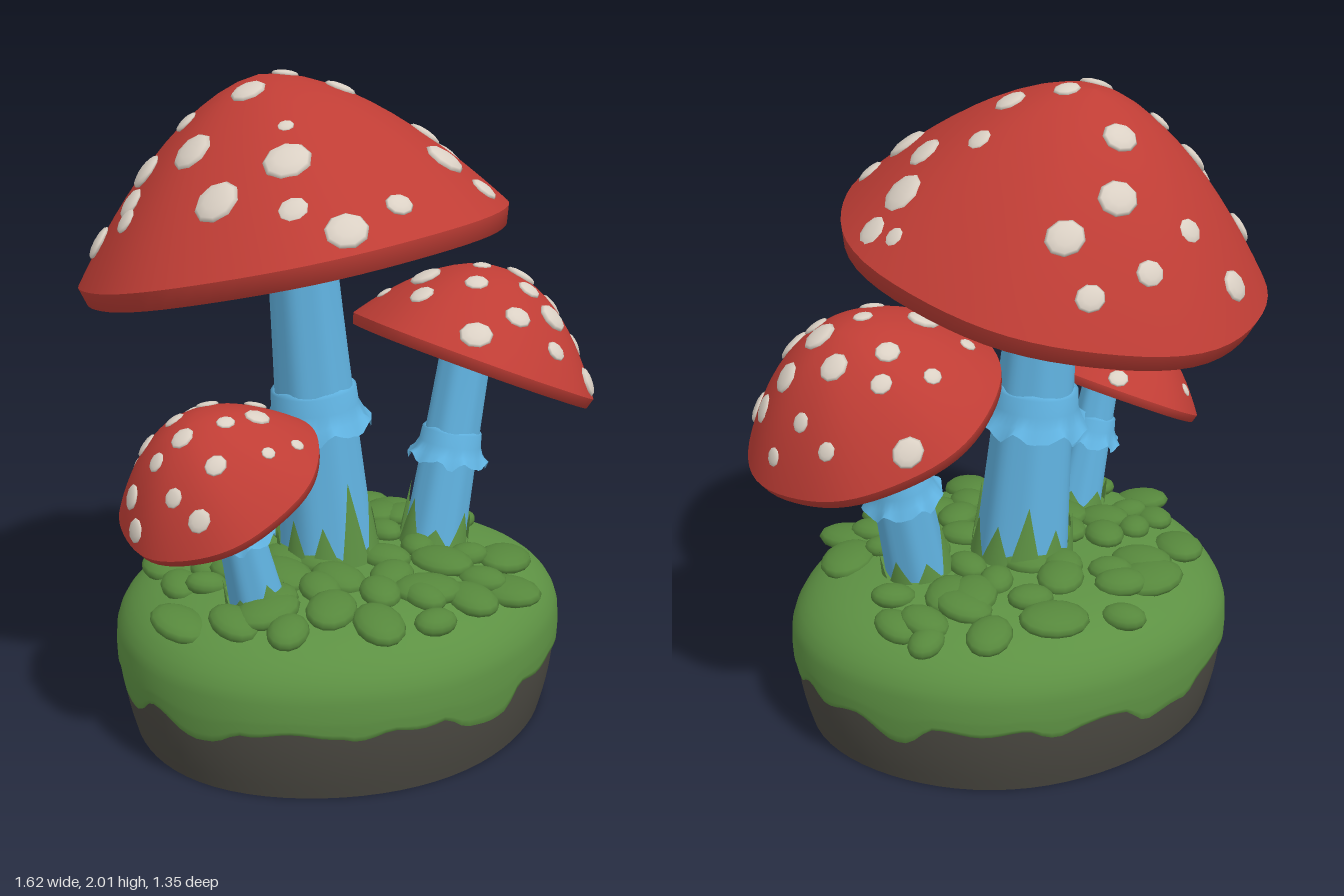
import * as THREE from 'three';

const mat = (name, color, side = THREE.FrontSide) => {
  const m = new THREE.MeshStandardMaterial({ color, side });
  m.name = name;
  return m;
};
const red = mat('cap red', 0xbf3d35);
const cream = mat('spot cream', 0xdad0c4);
const blue = mat('stem blue', 0x60b2e0, THREE.DoubleSide);
const green = mat('moss green', 0x5d9143, THREE.DoubleSide);
const lumpGreen = mat('moss lump green', 0x56873c);
const soil = mat('soil grey', 0x4a4841);

const V = (x, y, z) => new THREE.Vector3(x, y, z);
const UP = V(0, 1, 0);
let seed = 7;
const rand = () => (seed = (seed * 16807) % 2147483647) / 2147483647;

// Surface closed around y: fn(angle, row) returns [radius or x, y, z]
function loft(cols, rows, fn) {
  const pos = [], idx = [];
  for (let j = 0; j < rows; j++)
    for (let i = 0; i < cols; i++) pos.push(...fn((i / cols) * Math.PI * 2, j, i));
  for (let j = 0; j < rows - 1; j++)
    for (let i = 0; i < cols; i++) {
      const a = j * cols + i, b = j * cols + ((i + 1) % cols);
      idx.push(a, a + cols, b, b, a + cols, b + cols);
    }
  const g = new THREE.BufferGeometry();
  g.setAttribute('position', new THREE.Float32BufferAttribute(pos, 3));
  g.setIndex(idx);
  g.computeVertexNormals();
  return g;
}
const polar = (a, r, y) => [Math.cos(a) * r, y, Math.sin(a) * r];

function add(parent, name, geometry, material) {
  const m = new THREE.Mesh(geometry, material);
  m.name = name;
  parent.add(m);
  return m;
}

// ---- Mound: an oval plan with a slightly wavy outline ----
function moundPoint(a, rho, y, out = 0) {
  const w = rho * (1 + 0.01 * Math.sin(3 * a + 1) + 0.007 * Math.sin(5 * a)) + out;
  return [-0.025 + 0.715 * w * Math.cos(a), y, 0.035 + 0.635 * w * Math.sin(a)];
}
const topY = rho => 0.28 + 0.23 * Math.pow(1 - Math.pow(rho, 4), 0.45);
const sideRho = y => (y > 0.28 ? 1 : 1 - 0.06 * ((0.28 - y) / 0.28) ** 2);
const mossEdge = a => 0.222 - 0.055 * Math.min(1, Math.max(0, 1.8 * Math.sin(7 * a + 1) * Math.sin(3 * a + 0.6)))
  + 0.06 * Math.max(0, Math.cos(a - 0.13)) ** 110 + 0.008 * Math.sin(17 * a);

function buildMound(parent) {
  const g = new THREE.Group();
  g.name = 'mound';
  parent.add(g);
  add(g, 'soilSide', loft(72, 7, (a, j) => moundPoint(a, sideRho(j * 0.045), j * 0.045)), soil);
  add(g, 'soilBottom', loft(72, 2, (a, j) => moundPoint(a, j * 0.94, 0)), soil);
  add(g, 'mossCover', loft(144, 22, (a, j) => {
    const e = mossEdge(a);
    if (j === 0) return moundPoint(a, sideRho(e), e);
    if (j < 6) {
      const y = e + (0.28 - e) * ((j - 1) / 5);
      return moundPoint(a, sideRho(y), y, 0.012);
    }
    const rho = Math.sin((1 - (j - 5) / 16) * Math.PI / 2);
    return moundPoint(a, rho, topY(rho), 0.012 * rho);
  }), green);

  // Flattened moss lumps scattered on the top
  const lump = new THREE.SphereGeometry(1, 14, 8);
  for (let i = 0; i < 54; i++) {
    const rho = 0.84 * Math.sqrt((i + 0.6) / 54) + (rand() - 0.5) * 0.08;
    const [x, y, z] = moundPoint(i * 2.39996 + rand() * 0.4, rho, topY(rho));
    const s = 0.06 + rand() * 0.042;
    const m = add(g, 'mossLump', lump, lumpGreen);
    m.position.set(x, y + 0.008, z);
    m.scale.set(s * 1.1, 0.036, s * 0.85);
    m.rotation.set(0.3 * z, rand() * 3, -0.3 * x);
  }
}

// ---- Stem with ragged skirt and mossy foot, built along its own axis ----
function buildStem(parent, { foot, head, r0, r1, skirtAt, skirtR, moss }) {
  const g = new THREE.Group();
  g.name = 'stem';
  g.position.copy(foot);
  const axis = head.clone().sub(foot), len = axis.length();
  g.quaternion.setFromUnitVectors(UP, axis.normalize());
  parent.add(g);
  const rad = t => r1 + (r0 - r1) * (1 - t) ** 1.3;
  const flute = a => 1 + 0.025 * Math.cos(7 * a + 1);
  add(g, 'stalk', loft(42, 9, (a, j) => polar(a, rad(j / 8) * flute(a), len * j / 8)), blue);

  // Skirt: hugs the stalk above, flares to a torn hem below
  const rs = rad(skirtAt), y = len * skirtAt, d = skirtR - rs;
  const hem = a => 0.28 * d * Math.sin(8 * a) + 0.16 * d * Math.sin(13 * a + 2);
  add(g, 'skirt', loft(48, 5, (a, j) => [
    polar(a, skirtR + hem(a) * 0.3, y - d * 1.5 + hem(a)),
    polar(a, rs + d * 0.6, y - d * 0.9 + hem(a) * 0.3),
    polar(a, rs + d * 0.28, y - d * 0.2),
    polar(a, rs * 1.09, y + d * 0.8),
    polar(a, rs * 0.97, y + d * (0.95 + 0.12 * Math.sin(5 * a))),
  ][j]), blue);

  // Pointed moss blades climbing the foot
  const n = moss.length;
  add(g, 'mossBlades', loft(n * 8, 4, (a, j, i) => {
    const tri = 1 - Math.abs((i % 8) - 4) / 4;
    const h = 0.05 + moss[Math.floor(i / 8)] * tri;
    return polar(a, rad((h * j / 3) / len) * 1.05 + 0.012 * (1 - j / 6), h * j / 3);
  }), green);
}

// ---- Cap: red dome, rolled lip, pleated gills and raised spots ----
function buildCap(parent, { center, normal, R, H, power, gillH, spots }) {
  const g = new THREE.Group();
  g.name = 'cap';
  g.position.copy(center);
  g.quaternion.setFromUnitVectors(UP, normal.clone().normalize());
  parent.add(g);
  const lip = 0.085 * R;
  const wob = a => 1 + 0.012 * Math.sin(3 * a + 0.5) + 0.008 * Math.sin(7 * a);
  const height = r => H * (1 - Math.pow(Math.min(r / R, 1), power));
  add(g, 'dome', loft(64, 17, (a, j) => {
    const r = R * Math.sin((1 - j / 16) * Math.PI / 2);
    return polar(a, r * wob(a), height(r));
  }), red);
  add(g, 'lip', loft(64, 3, (a, j) =>
    polar(a, R * wob(a) * [0.93, 0.975, 1][j], [-lip * 0.9, -lip, 0][j])), red);
  add(g, 'gills', loft(96, 7, (a, j, i) => {
    const t = j / 6;
    const pleat = (i % 2) * 0.022 * R * Math.sin(Math.PI * Math.min(1, t * 1.02));
    return polar(a, 0.935 * R * t * wob(a), gillH + (-lip * 0.85 - gillH) * t ** 1.6 + pleat);
  }), blue);

  const spotShape = new THREE.SphereGeometry(1, 9, 6);
  for (const [x, z, s] of spots) {
    const r = Math.hypot(x, z) || 0.001;
    const slope = (H * power / R) * Math.pow(r / R, power - 1);
    const m = add(g, 'spot', spotShape, cream);
    m.position.set(x, height(r), z);
    m.quaternion.setFromUnitVectors(UP, V(slope * x / r, 1, slope * z / r).normalize());
    m.scale.set(s, s * 0.28, s * 0.88);
  }
}

// Spot placement given in plan, converted to the tilted cap's own axes
function planSpots(list, { center, normal, R, H, power }) {
  const q = new THREE.Quaternion().setFromUnitVectors(UP, normal.clone().normalize());
  return list.map(([x, z, s]) => {
    let u = x - center.x, v = z - center.z;
    for (let k = 0; k < 12; k++) {
      const r = Math.min(Math.hypot(u, v) / R, 1);
      const p = V(u, H * (1 - Math.pow(r, power)), v).applyQuaternion(q).add(center);
      u += (x - p.x) * 0.6;
      v += (z - p.z) * 0.6;
    }
    const k = Math.min(1, 0.94 * R / Math.hypot(u, v));
    return [u * k, v * k, s];
  });
}
const spiralSpots = (n, R, size, turn) => Array.from({ length: n }, (_, i) => {
  const r = R * 0.93 * Math.sqrt((i + 0.5) / n), a = i * 2.39996 + turn + rand() * 0.5;
  return [r * Math.cos(a), r * Math.sin(a), size * (0.6 + 0.6 * rand())];
});

export function createModel() {
  const model = new THREE.Group();
  model.name = 'mushroomCluster';
  buildMound(model);

  const big = { center: V(-0.145, 1.505, -0.03), normal: V(-0.085, 1, -0.225), R: 0.65, H: 0.505, power: 1.7, gillH: 0.06 };
  big.spots = planSpots([
    [-0.37, -0.56, 0.055], [-0.24, -0.5, 0.045], [-0.05, -0.55, 0.045], [0.14, -0.52, 0.045],
    [-0.04, -0.42, 0.062], [0.14, -0.41, 0.06], [-0.14, -0.31, 0.056], [-0.65, -0.29, 0.055],
    [-0.54, -0.19, 0.058], [-0.62, -0.14, 0.05], [-0.41, -0.18, 0.04], [-0.66, -0.1, 0.04],
    [-0.5, 0.01, 0.066], [-0.29, -0.03, 0.055], [-0.12, -0.1, 0.042], [0, 0.01, 0.05],
    [0.15, -0.04, 0.04], [0.22, 0.13, 0.056], [0.34, 0.07, 0.072], [0.44, 0.08, 0.055],
    [0.43, -0.01, 0.035], [-0.55, 0.22, 0.07], [-0.36, 0.28, 0.072], [-0.3, 0.18, 0.025],
    [-0.42, 0.4, 0.046], [-0.33, 0.52, 0.065], [-0.15, 0.51, 0.042], [0.14, 0.33, 0.066], [0.23, 0.4, 0.046],
  ], big);

  const mushrooms = [
    { name: 'bigMushroom', cap: big,
      stem: { foot: V(-0.035, 0.46, 0), head: V(-0.125, 1.565, -0.025), r0: 0.15, r1: 0.1, skirtAt: 0.5, skirtR: 0.172,
        moss: [0.12, 0.2, 0.27, 0.14, 0.16, 0.1, 0.15, 0.12, 0.2, 0.12] } },
    { name: 'leftMushroom',
      cap: { center: V(0.445, 1.09, 0.1), normal: V(0.41, 0.91, 0), R: 0.4, H: 0.29, power: 2, gillH: 0.04,
        spots: spiralSpots(22, 0.4, 0.046, 0.6) },
      stem: { foot: V(0.29, 0.45, 0.1), head: V(0.425, 1.12, 0.09), r0: 0.1, r1: 0.08, skirtAt: 0.56, skirtR: 0.128,
        moss: [0.1, 0.12, 0.06, 0.14, 0.18, 0.08, 0.1] } },
    { name: 'rightMushroom',
      cap: { center: V(-0.53, 0.89, 0.16), normal: V(-0.46, 0.89, 0.04), R: 0.312, H: 0.225, power: 2, gillH: 0.03,
        spots: spiralSpots(18, 0.312, 0.034, 2) },
      stem: { foot: V(-0.395, 0.45, 0.165), head: V(-0.505, 0.92, 0.16), r0: 0.085, r1: 0.058, skirtAt: 0.66, skirtR: 0.102,
        moss: [0.05, 0.08, 0.05, 0.09, 0.06, 0.05] } },
  ];
  for (const { name, cap, stem } of mushrooms) {
    const g = new THREE.Group();
    g.name = name;
    model.add(g);
    buildStem(g, stem);
    buildCap(g, cap);
  }
  return model;
}
